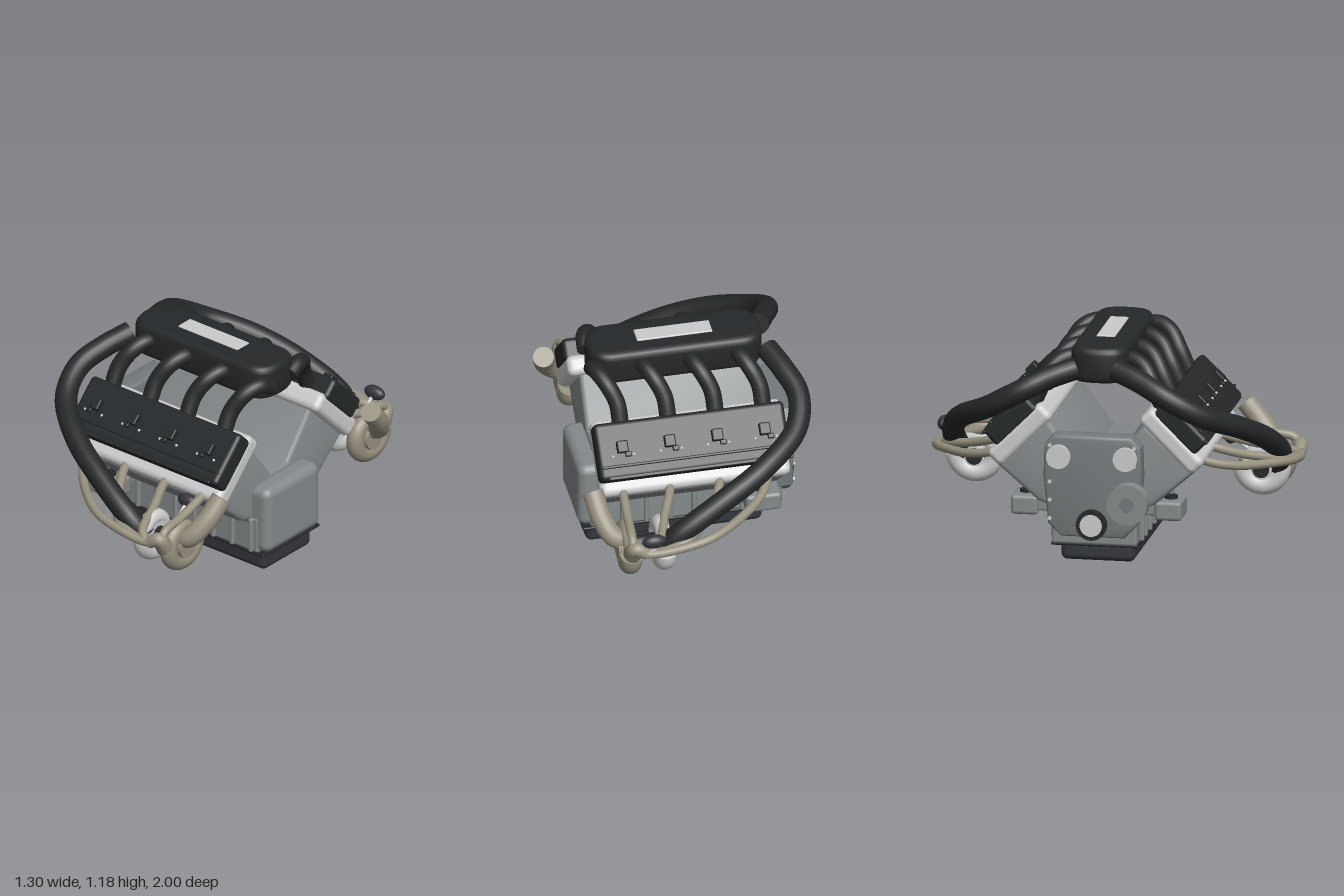
import * as THREE from 'three';
import { mergeGeometries, toCreasedNormals } from 'three/addons/utils/BufferGeometryUtils.js';
import { RoundedBoxGeometry } from 'three/addons/geometries/RoundedBoxGeometry.js';

const V = (p) => new THREE.Vector3(...p);
const mat = (color) => new THREE.MeshStandardMaterial({ color });
const black = mat(0x25282a), sumpGrey = mat(0x33363c), blockGrey = mat(0x84898b);
const headGrey = mat(0xcccccc), tan = mat(0x96907e), coverGrey = mat(0x747a7c);

function add(parent, name, geo, material, pos = [0, 0, 0]) {
  const mesh = new THREE.Mesh(geo, material);
  mesh.name = name;
  mesh.position.set(...pos);
  parent.add(mesh);
  return mesh;
}

// Rounded box given by its extents on each axis
function box(parent, name, [x0, x1], [y0, y1], [z0, z1], r, material) {
  const geo = new RoundedBoxGeometry(x1 - x0, y1 - y0, z1 - z0, 3, r);
  return add(parent, name, geo, material, [(x0 + x1) / 2, (y0 + y1) / 2, (z0 + z1) / 2]);
}

// Cylinder lying along x
function disc(parent, name, r, x0, x1, y, z, material, r2 = r) {
  const geo = new THREE.CylinderGeometry(r2, r, x1 - x0, 32).rotateZ(-Math.PI / 2);
  return add(parent, name, geo, material, [(x0 + x1) / 2, y, z]);
}

// Capped tube through points, tapering from r0 to r1
function tube(parent, name, points, r0, material, r1 = r0) {
  const curve = new THREE.CatmullRomCurve3(points.map(V), false, 'centripetal');
  const segs = 48, sides = 18;
  const geo = new THREE.TubeGeometry(curve, segs, 1, sides);
  const pos = geo.attributes.position, n = geo.attributes.normal;
  for (let i = 0; i < pos.count; i++) {
    const t = Math.floor(i / (sides + 1)) / segs;
    const c = curve.getPointAt(t), r = r0 + (r1 - r0) * t;
    pos.setXYZ(i, c.x + n.getX(i) * r, c.y + n.getY(i) * r, c.z + n.getZ(i) * r);
  }
  const cap = (t, r, dir) => {
    const q = new THREE.Quaternion().setFromUnitVectors(V([0, 0, 1]), curve.getTangentAt(t).multiplyScalar(dir));
    const c = curve.getPointAt(t);
    return new THREE.CircleGeometry(r, sides).applyQuaternion(q).translate(c.x, c.y, c.z);
  };
  return add(parent, name, mergeGeometries([geo, cap(0, r0, -1), cap(1, r1, 1)]), material);
}

// Symmetric [z, y] half outline mirrored and extruded along x with a bevel
function extrudeX(parent, name, half, x0, x1, bevel, material) {
  const pts = [...half, ...half.map(([z, y]) => [-z, y]).reverse()];
  const shape = new THREE.Shape(pts.map(([z, y]) => new THREE.Vector2(z, y)));
  const geo = new THREE.ExtrudeGeometry(shape, {
    depth: x1 - x0 - 2 * bevel, bevelSize: bevel, bevelThickness: bevel, bevelOffset: -bevel, bevelSegments: 3,
  }).rotateY(Math.PI / 2);
  return add(parent, name, toCreasedNormals(geo, 0.6), material, [x0 + bevel, 0, 0]);
}

function buildBlock(g) {
  box(g, 'sump', [-0.42, 0.54], [0, 0.11], [-0.2, 0.2], 0.035, sumpGrey);
  box(g, 'sumpGasket', [-0.51, 0.565], [0.103, 0.121], [-0.235, 0.235], 0.008, black);
  box(g, 'crankcase', [-0.52, 0.52], [0.115, 0.325], [-0.23, 0.23], 0.015, blockGrey);
  extrudeX(g, 'cylinderBanks', [[0.2, 0.2], [0.24, 0.31], [0.31, 0.33], [0.54, 0.53], [0.26, 0.78], [0.07, 0.53]],
    -0.48, 0.48, 0.025, blockGrey);
  box(g, 'bellHousing', [0.44, 0.585], [0.12, 0.505], [-0.225, 0.225], 0.05, blockGrey);
  // Timing cover with its pulleys
  extrudeX(g, 'timingCover', [[0.17, 0.17], [0.24, 0.24], [0.265, 0.5], [0.26, 0.67], [0.21, 0.725]],
    -0.58, -0.46, 0.02, coverGrey);
  disc(g, 'crankPulley', 0.082, -0.615, -0.57, 0.245, 0, black);
  disc(g, 'crankPulleyFace', 0.06, -0.62, -0.6, 0.245, 0, headGrey);
  disc(g, 'waterPump', 0.11, -0.65, -0.57, 0.375, 0.2, blockGrey);
  disc(g, 'waterPumpHub', 0.04, -0.655, -0.63, 0.375, 0.2, coverGrey);
  for (const z of [-0.18, 0.18]) disc(g, 'camCap', 0.065, -0.6, -0.57, 0.61, z, headGrey);
  for (let i = 0; i < 10; i++) {
    const s = i < 5 ? 1 : -1;
    disc(g, 'coverBolt', 0.01, -0.588, -0.575, 0.27 + (i % 5) * 0.1, s * 0.228, headGrey);
  }
}

function buildPlenum(g) {
  const w = 0.475, d = 0.155, b = 0.04, r = 0.13;
  const s = new THREE.Shape();
  s.moveTo(-w + r, -d);
  s.lineTo(w - r, -d);
  s.quadraticCurveTo(w, -d, w, 0);
  s.quadraticCurveTo(w, d, w - r, d);
  s.lineTo(-w + r, d);
  s.quadraticCurveTo(-w, d, -w, 0);
  s.quadraticCurveTo(-w, -d, -w + r, -d);
  const geo = new THREE.ExtrudeGeometry(s, {
    depth: 0.195 - 2 * b, bevelSize: b, bevelThickness: b, bevelOffset: -b, bevelSegments: 4, curveSegments: 16,
  }).rotateX(-Math.PI / 2);
  add(g, 'intakePlenum', toCreasedNormals(geo, 0.7), black, [0.025, 0.977 + b, 0]);
  box(g, 'plenumPlate', [-0.18, 0.23], [1.16, 1.18], [-0.05, 0.05], 0.006, headGrey);
}

// Cylinder head, valve cover and coils, tilted 45 degrees
function buildHead(g) {
  const head = new THREE.Group();
  head.name = 'headAssembly';
  head.position.set(0, 0.69, 0.41);
  head.rotation.x = Math.PI / 4;
  g.add(head);
  box(head, 'cylinderHead', [-0.495, 0.54], [-0.055, 0.055], [-0.205, 0.205], 0.035, headGrey);
  box(head, 'valveCover', [-0.49, 0.545], [0.03, 0.152], [-0.175, 0.135], 0.025, black);
  box(head, 'coverRidge', [-0.48, 0.53], [0.14, 0.162], [0.06, 0.075], 0.005, black);
  box(head, 'fuelRail', [-0.5, 0.5], [0.135, 0.15], [0.118, 0.138], 0.006, black);
  for (let i = 0; i < 4; i++) {
    const x = -0.365 + i * 0.258;
    box(head, 'ignitionCoil', [x - 0.03, x + 0.03], [0.14, 0.185], [-0.065, 0], 0.008, black);
    box(head, 'coilConnector', [x - 0.045, x - 0.012], [0.145, 0.172], [-0.005, 0.022], 0.005, black);
    for (const dx of [-0.06, 0.055])
      add(head, 'coverBolt', new THREE.SphereGeometry(0.008, 10, 8), headGrey, [x + dx, 0.153, 0.012]);
  }
}

function buildSide(g) {
  buildHead(g);
  // Crankcase ribs and side box
  for (const x of [-0.4, -0.3, -0.17, -0.04, 0.09, 0.22, 0.35, 0.48])
    box(g, 'crankcaseRib', [x - 0.013, x + 0.013], [0.12, 0.32], [0.21, 0.25], 0.01, blockGrey);
  box(g, 'sideBox', [-0.47, -0.275], [0.25, 0.355], [0.315, 0.46], 0.02, blockGrey);
  box(g, 'sideBoxBracket', [-0.44, -0.31], [0.27, 0.33], [0.2, 0.33], 0.01, blockGrey);
  const lid = new THREE.CylinderGeometry(0.036, 0.036, 0.02, 24);
  add(g, 'sideBoxCap', lid, black, [-0.37, 0.36, 0.39]);
  // Intake runners
  for (let i = 0; i < 4; i++) {
    const x = -0.39 + i * 0.258;
    tube(g, 'intakeRunner', [[x + 0.1, 1.06, 0.08], [x + 0.09, 1.09, 0.16], [x + 0.055, 1.06, 0.235],
      [x + 0.01, 0.97, 0.295], [x, 0.85, 0.35]], 0.045, black);
  }
  // Charge pipe from the compressor to the plenum
  tube(g, 'chargePipe', [[-0.46, 1.065, 0.11], [-0.52, 1.02, 0.25], [-0.57, 0.95, 0.4], [-0.52, 0.85, 0.57],
    [-0.31, 0.745, 0.74], [-0.05, 0.625, 0.84], [0.18, 0.49, 0.88], [0.26, 0.4, 0.85]], 0.06, black);
  // Exhaust headers
  const collector = [[0.37, 0.44, 0.955], [0.44, 0.47, 0.93]];
  const headers = [
    [[-0.38, 0.6, 0.5], [-0.36, 0.56, 0.59], [-0.28, 0.525, 0.72], [-0.02, 0.49, 0.93], [0.15, 0.465, 0.97]],
    [[-0.11, 0.6, 0.5], [-0.1, 0.57, 0.59], [-0.02, 0.52, 0.73], [0.14, 0.47, 0.92]],
    [[0.16, 0.6, 0.5], [0.17, 0.57, 0.59], [0.23, 0.52, 0.74], [0.3, 0.47, 0.92]],
    [[0.41, 0.6, 0.5], [0.42, 0.57, 0.59], [0.43, 0.53, 0.75], [0.44, 0.51, 0.9]],
  ];
  headers.forEach((h, i) => tube(g, 'exhaustHeader', [...h, ...(i < 3 ? collector : [[0.44, 0.46, 0.94]])], 0.024, tan));
  tube(g, 'collector', [[0.37, 0.44, 0.95], [0.43, 0.47, 0.94], [0.44, 0.41, 0.9]], 0.032, tan, 0.05);
  tube(g, 'exhaustOutlet', [[0.43, 0.42, 0.78], [0.51, 0.45, 0.78], [0.565, 0.53, 0.72], [0.595, 0.645, 0.62]], 0.056, tan);
}

// Turbocharger: two snail housings on a shared shaft
function buildTurbo(g, z) {
  const turbo = new THREE.Group();
  turbo.name = 'turbocharger';
  turbo.position.set(0, 0.39, z);
  g.add(turbo);
  const snail = (name, x, material) => {
    const pts = [];
    for (let i = 0; i <= 20; i++) {
      const a = (i / 20) * Math.PI * 2, R = 0.085 + 0.025 * (i / 20);
      pts.push([x, Math.sin(a) * R, -Math.cos(a) * R]);
    }
    tube(turbo, name, pts, 0.036, material, 0.06);
  };
  snail('turbineHousing', 0.44, tan);
  snail('compressorHousing', 0.255, headGrey);
  disc(turbo, 'turbineCore', 0.08, 0.41, 0.5, 0, 0, tan, 0.07);
  disc(turbo, 'compressorCore', 0.08, 0.22, 0.29, 0, 0, headGrey);
  disc(turbo, 'bearingHousing', 0.045, 0.28, 0.42, 0, 0, black);
  disc(turbo, 'compressorInlet', 0.055, 0.165, 0.23, 0, 0, headGrey);
  disc(turbo, 'inletOpening', 0.045, 0.162, 0.17, 0, 0, black);
  // Wastegate actuator and its rod
  const dome = new THREE.SphereGeometry(0.065, 24, 16).scale(1, 0.6, 0.55);
  add(turbo, 'wastegateActuator', dome, sumpGrey, [0.335, 0.135, -0.19]);
  tube(turbo, 'actuatorRod', [[0.335, 0.13, -0.18], [0.34, 0.07, -0.1], [0.35, 0.02, 0]], 0.01, headGrey);
}

export function createModel() {
  const model = new THREE.Group();
  model.name = 'engine';
  buildBlock(model);
  buildPlenum(model);
  for (const s of [1, -1]) {
    const side = new THREE.Group();
    side.name = s > 0 ? 'frontBank' : 'backBank';
    side.scale.z = s;
    buildSide(side);
    model.add(side);
    buildTurbo(model, s * 0.775);
  }
  return model;
}
